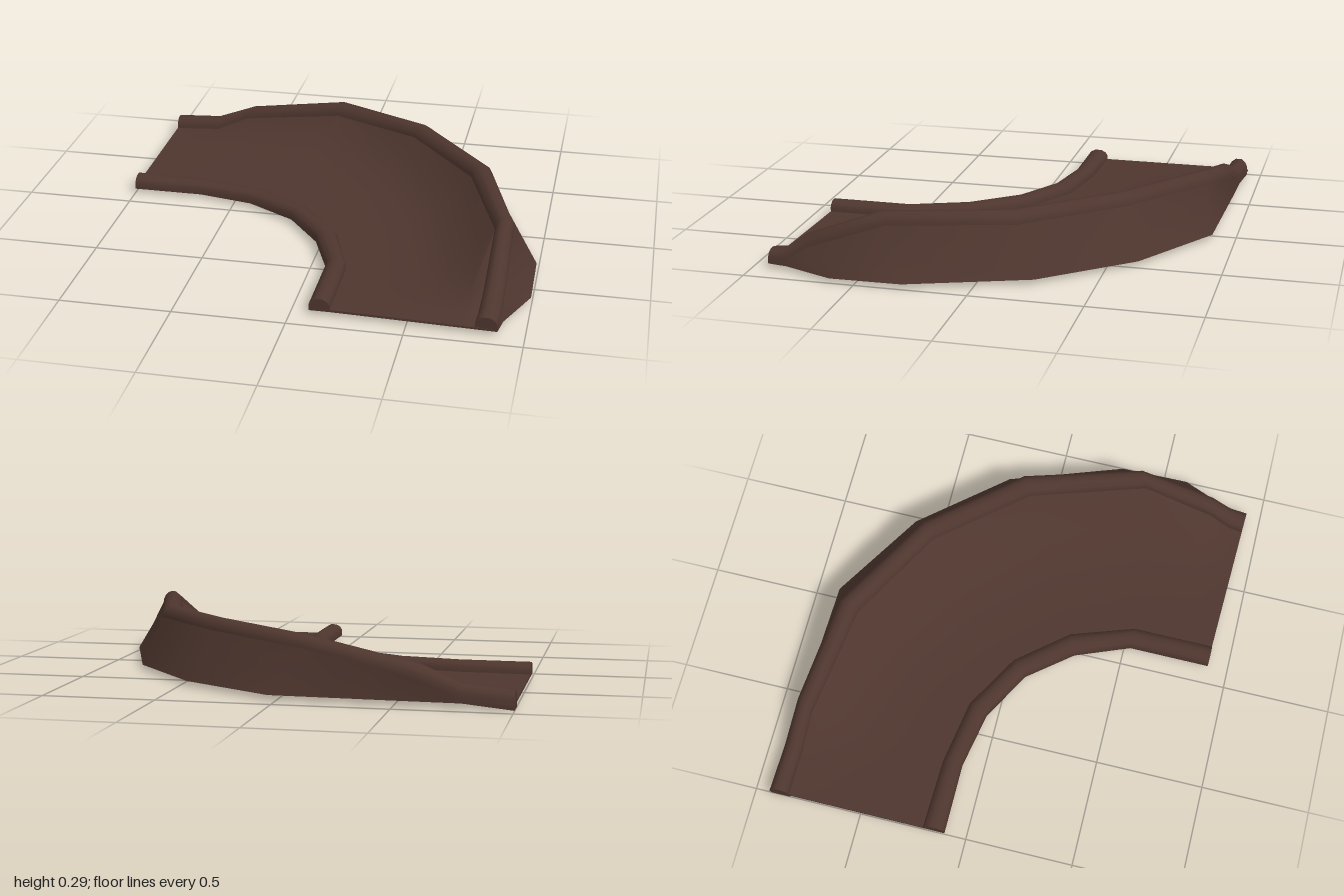
import * as THREE from 'three';
import { toCreasedNormals } from 'three/addons/utils/BufferGeometryUtils.js';

// Stations along the bend. Each point is [x, z]:
// a, b = inner rail edges; c, d = outer rail edges; s = foot of the outer skirt.
// h = crest height of the outer rail, base = underside height.
const stations = [
  { a: [-1, -0.1], b: [-1, -0.2], c: [-1, -0.84], d: [-1, -0.93], s: [-1, -0.935], h: 0.08, base: 0 },
  { a: [-0.84, -0.1], b: [-0.84, -0.195], c: [-0.78, -0.835], d: [-0.78, -0.92], s: [-0.78, -0.92], h: 0.095 },
  { a: [-0.67, -0.1], b: [-0.68, -0.19], c: [-0.62, -0.83], d: [-0.57, -0.91], s: [-0.57, -0.915], h: 0.17 },
  { a: [-0.41, -0.05], b: [-0.38, -0.14], c: [-0.12, -0.74], d: [-0.09, -0.84], s: [0.04, -0.895], h: 0.265 },
  { a: [-0.18, 0.08], b: [-0.12, 0.01], c: [0.31, -0.49], d: [0.38, -0.56], s: [0.47, -0.63], h: 0.29 },
  { a: [-0.02, 0.28], b: [0.07, 0.24], c: [0.64, -0.1], d: [0.73, -0.15], s: [0.8, -0.24], h: 0.285 },
  { a: [0.08, 0.53], b: [0.17, 0.53], c: [0.81, 0.43], d: [0.89, 0.39], s: [0.99, 0.29], h: 0.29 },
  { a: [0.08, 0.7], b: [0.17, 0.7], c: [0.805, 0.76], d: [0.895, 0.75], s: [0.995, 0.61], h: 0.16 },
  { a: [0.08, 0.84], b: [0.17, 0.85], c: [0.795, 0.86], d: [0.89, 0.85], s: [0.9, 0.84], h: 0.09 },
  { a: [0.08, 0.905], b: [0.17, 0.905], c: [0.79, 0.925], d: [0.885, 0.93], s: [0.885, 0.93], h: 0.08 },
];

const FLOOR = 0.02;
const ROAD = 0.03;

// Point at fraction t between two plan points, at height y
const between = (p, q, t, y) => [p[0] + (q[0] - p[0]) * t, y, p[1] + (q[1] - p[1]) * t];

// Skin closed cross-sections into a capped solid
function loft(sections, crease) {
  const pos = [];
  const tri = (p, q, r) => pos.push(...p, ...q, ...r);
  const n = sections[0].length;
  for (let i = 0; i < sections.length - 1; i++) {
    const A = sections[i], B = sections[i + 1];
    for (let j = 0; j < n; j++) {
      const k = (j + 1) % n;
      tri(A[j], B[j], A[k]);
      tri(B[j], B[k], A[k]);
    }
  }
  const first = sections[0], last = sections[sections.length - 1];
  for (let j = 1; j < n - 1; j++) {
    tri(first[0], first[j], first[j + 1]);
    tri(last[0], last[j + 1], last[j]);
  }
  const geo = new THREE.BufferGeometry();
  geo.setAttribute('position', new THREE.Float32BufferAttribute(pos, 3));
  return toCreasedNormals(geo, crease);
}

// Rounded rail section from edge p to edge q
const railSection = (p, q, low, top) => {
  const rise = top - low;
  return [
    between(p, q, 0, low),
    between(p, q, 0, low + rise * 0.5),
    between(p, q, 0.12, low + rise * 0.8),
    between(p, q, 0.34, top),
    between(p, q, 0.66, top),
    between(p, q, 0.88, low + rise * 0.8),
    between(p, q, 1, low + rise * 0.5),
    between(p, q, 1, low),
  ];
};

// Road that curls up to the outer rail, then drops down the skirt to a flat underside
const bodySection = ({ b, c, d, s, h }) => {
  const edge = Math.max(ROAD, h - 0.05);
  const road = [0, 0.3, 0.5, 0.65, 0.78, 0.9, 1].map((t) =>
    between(b, c, t, ROAD + (edge - ROAD) * t ** 3.5));
  return [
    between(b, c, 0, FLOOR),
    ...road,
    between(d, s, 0, edge),
    between(d, s, 0.45, FLOOR + (edge - FLOOR) * 0.5),
    between(d, s, 1, FLOOR),
  ];
};

export function createModel() {
  const model = new THREE.Group();
  model.name = 'bankedCurve';
  const brown = new THREE.MeshStandardMaterial({ color: 0x4e362e });
  brown.name = 'dark brown';

  const add = (name, sections, crease) => {
    const mesh = new THREE.Mesh(loft(sections, crease), brown);
    mesh.name = name;
    model.add(mesh);
  };

  add('bankedRoad', stations.map(bodySection), 0.7);
  add('innerRail', stations.map(({ a, b }) => railSection(b, a, FLOOR, 0.077).map((p) => p)), 0.9);
  add('outerRail', stations.map(({ c, d, h, base = FLOOR }) =>
    railSection(c, d, Math.max(base, h - 0.08), h)), 0.9);

  // The inner rail runs from road side to inside, so flip its faces outward
  const inner = model.getObjectByName('innerRail');
  inner.geometry = loft(stations.map(({ a, b }) => railSection(a, b, FLOOR, 0.077)), 0.9);
  return model;
}
